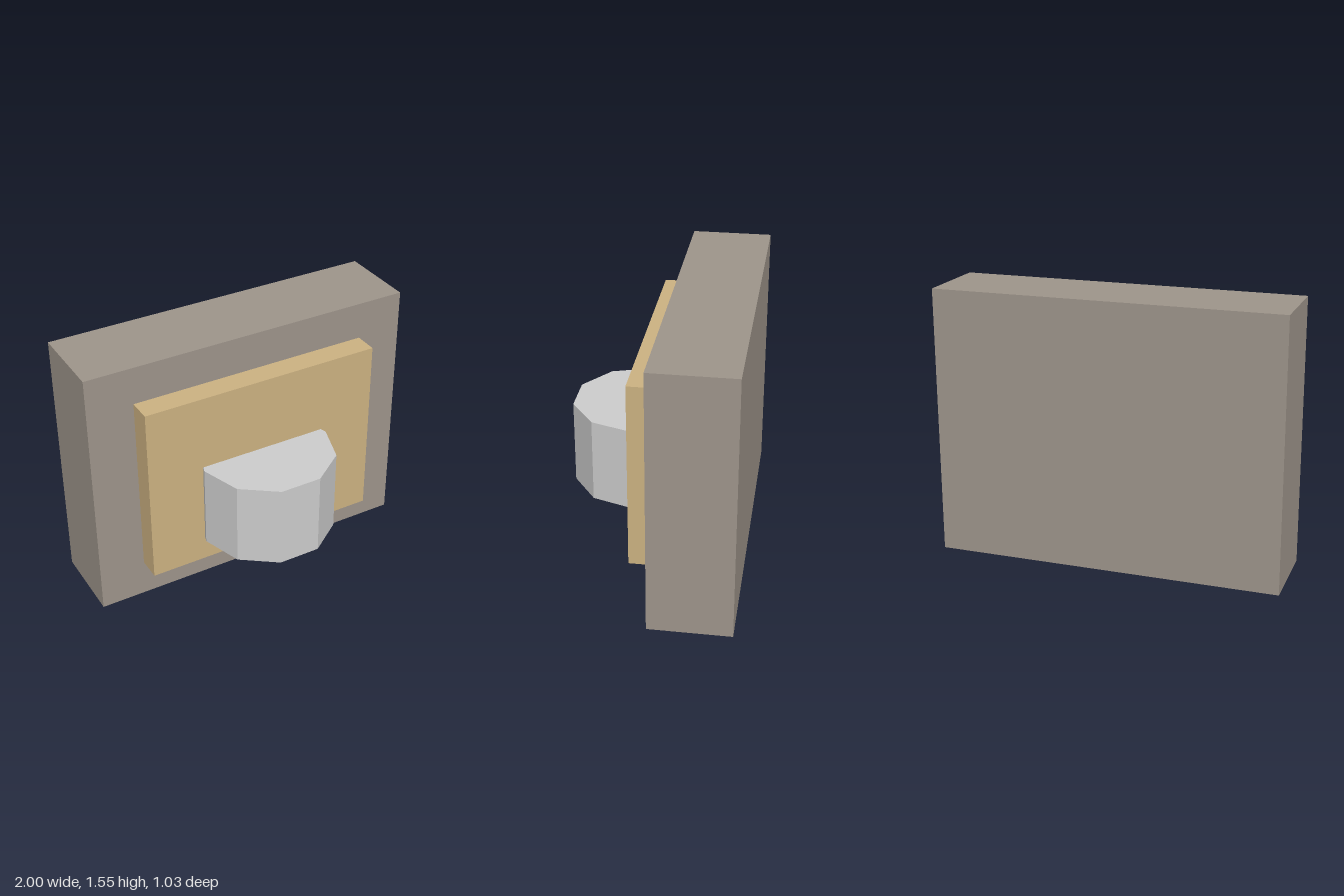
import * as THREE from 'three';

export function createModel() {
  const model = new THREE.Group();

  const add = (name, geometry, color, x, y, z) => {
    const material = new THREE.MeshStandardMaterial({ color, flatShading: true });
    const mesh = new THREE.Mesh(geometry, material);
    mesh.name = name;
    mesh.position.set(x, y, z);
    model.add(mesh);
  };

  // Thick upright slab at the back
  add('backBlock', new THREE.BoxGeometry(2, 1.55, 0.475), 0x9d948a, 0, 0.775, -0.2775);

  // Raised panel on the slab's front face
  add('frontPanel', new THREE.BoxGeometry(1.45, 1.1, 0.14), 0xcbb181, 0, 0.777, 0.03);

  // Ten-sided drum set into the panel, with a flat side facing forward
  const drum = new THREE.CylinderGeometry(0.4, 0.4, 0.5, 10, 1, false, Math.PI / 10);
  add('drum', drum, 0xcccccc, 0, 0.628, 0.135);

  return model;
}
